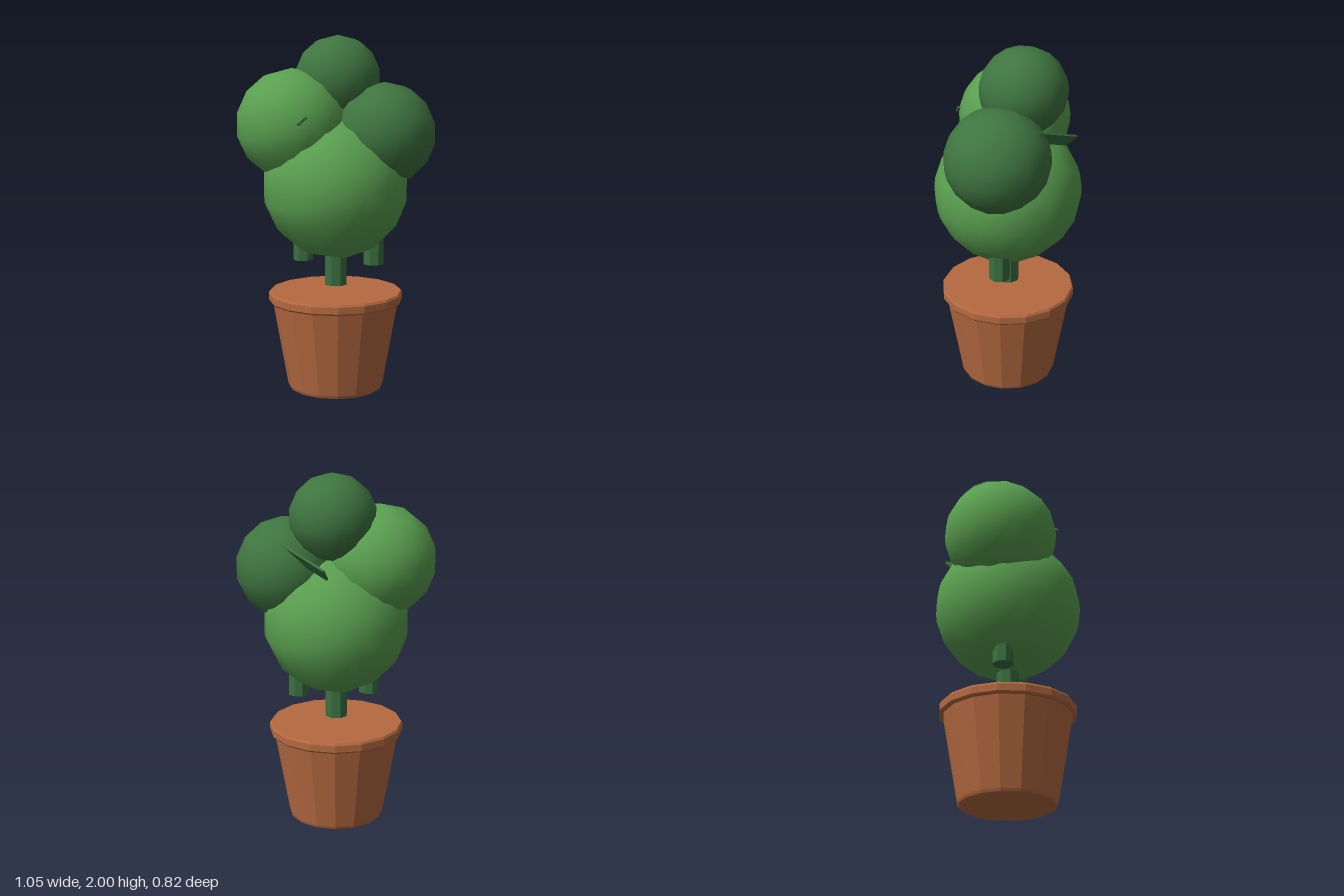
import * as THREE from 'three';

const mat = (color, flatShading = false) => new THREE.MeshStandardMaterial({ color, flatShading });

export function createModel() {
  const group = new THREE.Group();
  const lightLeaf = mat(0x5aa050);
  const darkLeaf = mat(0x3f7540);
  const stemMat = mat(0x3a7040, true);
  const clay = mat(0xb56a40, true);

  const add = (name, geometry, material, x = 0, y = 0, z = 0) => {
    const mesh = new THREE.Mesh(geometry, material);
    mesh.name = name;
    mesh.position.set(x, y, z);
    group.add(mesh);
    return mesh;
  };

  // Tapered pot and its rim, with small bevels
  const lathe = (pts) => new THREE.LatheGeometry(pts.map(([r, y]) => new THREE.Vector2(r, y)), 16);
  add('pot', lathe([[0, 0], [0.255, 0], [0.266, 0.007], [0.272, 0.022], [0.358, 0.51]]), clay);
  add('potRim', lathe([
    [0, 0.505], [0.372, 0.505], [0.38, 0.515], [0.38, 0.553], [0.372, 0.565], [0, 0.565],
  ]), clay);

  // Stems: radius, bottom, top, x, z
  [
    ['mainStem', 0.065, 0.6, 1.1, 0, 0],
    ['leftStem', 0.06, 0.72, 1.1, 0.19, 0.1],
    ['rightStem', 0.06, 0.745, 1.1, -0.17, -0.07],
  ].forEach(([name, r, y0, y1, x, z]) =>
    add(name, new THREE.CylinderGeometry(r, r, y1 - y0, 8), stemMat, x, (y0 + y1) / 2, z));

  // Foliage balls, with their poles facing front and back
  [
    ['lowerFoliage', 0.41, 0, 1.163, 0, lightLeaf],
    ['rightFoliage', 0.313, -0.22, 1.508, -0.1, lightLeaf],
    ['leftFoliage', 0.287, 0.243, 1.458, 0.123, darkLeaf],
    ['topFoliage', 0.241, 0.048, 1.759, -0.075, darkLeaf],
  ].forEach(([name, r, x, y, z, material]) =>
    add(name, new THREE.SphereGeometry(r, 14, 10).rotateX(Math.PI / 2).rotateZ(Math.PI / 2), material, x, y, z));

  // Thin flat leaves, placed by one corner and the directions of length and width
  const addLeaf = (name, corner, along, across, length, width) => {
    const u = new THREE.Vector3(...along).normalize();
    const w = new THREE.Vector3().crossVectors(u, new THREE.Vector3(...across)).normalize();
    const v = new THREE.Vector3().crossVectors(w, u);
    const leaf = add(name, new THREE.BoxGeometry(length, width, 0.012), stemMat);
    leaf.quaternion.setFromRotationMatrix(new THREE.Matrix4().makeBasis(u, v, w));
    leaf.position.set(...corner).addScaledVector(u, length / 2).addScaledVector(v, width / 2);
  };
  addLeaf('backLeaf', [0.2, 1.53, -0.33], [0.14, 0.1, 0.25], [-0.045, -0.065, 0.035], 0.36, 0.087);
  addLeaf('frontLeaf', [-0.315, 1.535, 0.215], [0, 0, -1], [0.05, 0.04, 0], 0.2, 0.062);

  return group;
}
